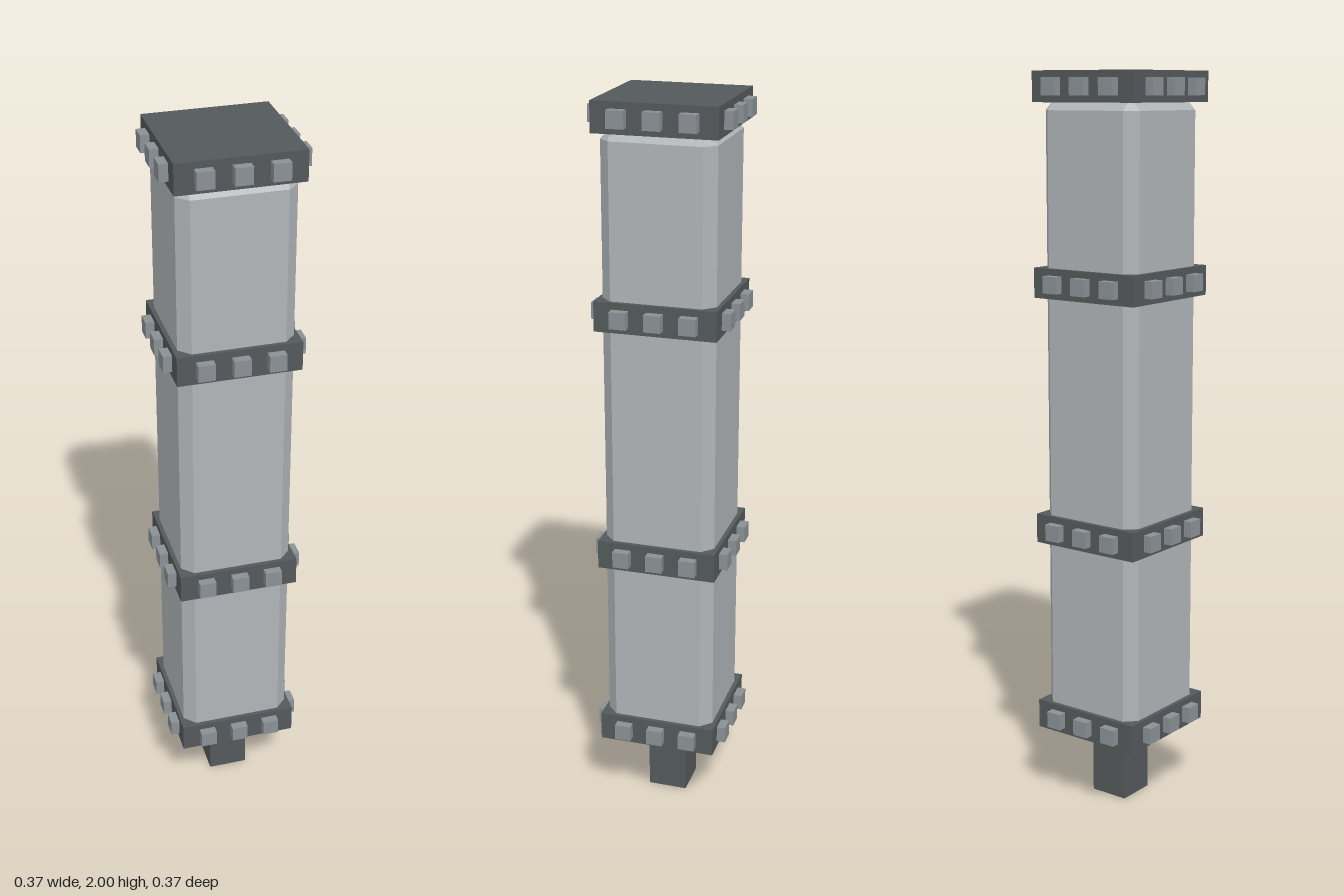
import * as THREE from 'three';
import { ConvexGeometry } from 'three/addons/geometries/ConvexGeometry.js';

const shaftGrey = new THREE.MeshStandardMaterial({ name: 'light grey shaft', color: 0xb0b5b8 });
const bandGrey = new THREE.MeshStandardMaterial({ name: 'dark grey band', color: 0x54595b });
const studGrey = new THREE.MeshStandardMaterial({ name: 'mid grey stud', color: 0x8a9195 });

// Box with every edge cut at 45 degrees
function chamferedBox(w, h, d, c) {
  const points = [];
  for (const sx of [-1, 1]) for (const sy of [-1, 1]) for (const sz of [-1, 1]) {
    const x = w / 2, y = h / 2, z = d / 2;
    points.push(
      new THREE.Vector3(sx * x, sy * (y - c), sz * (z - c)),
      new THREE.Vector3(sx * (x - c), sy * y, sz * (z - c)),
      new THREE.Vector3(sx * (x - c), sy * (y - c), sz * z)
    );
  }
  return new ConvexGeometry(points);
}

function addMesh(parent, name, geometry, material, x, y, z) {
  const mesh = new THREE.Mesh(geometry, material);
  mesh.name = name;
  mesh.position.set(x, y, z);
  parent.add(mesh);
  return mesh;
}

export function createModel() {
  const model = new THREE.Group();
  model.name = 'studdedPillar';

  // Square peg and chamfered shaft
  addMesh(model, 'peg', new THREE.BoxGeometry(0.11, 0.22, 0.11), bandGrey, 0, 0.11, 0);
  addMesh(model, 'shaft', chamferedBox(0.304, 1.68, 0.304, 0.03), shaftGrey, 0, 1.09, 0);

  // Four bands, each with three studs on every side
  const bandGeometry = new THREE.BoxGeometry(0.327, 0.08, 0.327);
  const studGeometry = new THREE.BoxGeometry(0.045, 0.045, 0.045);
  for (const y of [0.24, 0.78, 1.453, 1.96]) {
    const band = new THREE.Group();
    band.name = 'band';
    band.position.y = y;
    model.add(band);
    addMesh(band, 'bandPlate', bandGeometry, bandGrey, 0, 0, 0);
    for (let side = 0; side < 4; side++) {
      const row = new THREE.Group();
      row.name = 'studRow';
      row.rotation.y = side * Math.PI / 2;
      band.add(row);
      for (const x of [-0.0925, 0, 0.0925]) {
        addMesh(row, 'stud', studGeometry, studGrey, x, 0, 0.1645);
      }
    }
  }
  return model;
}
